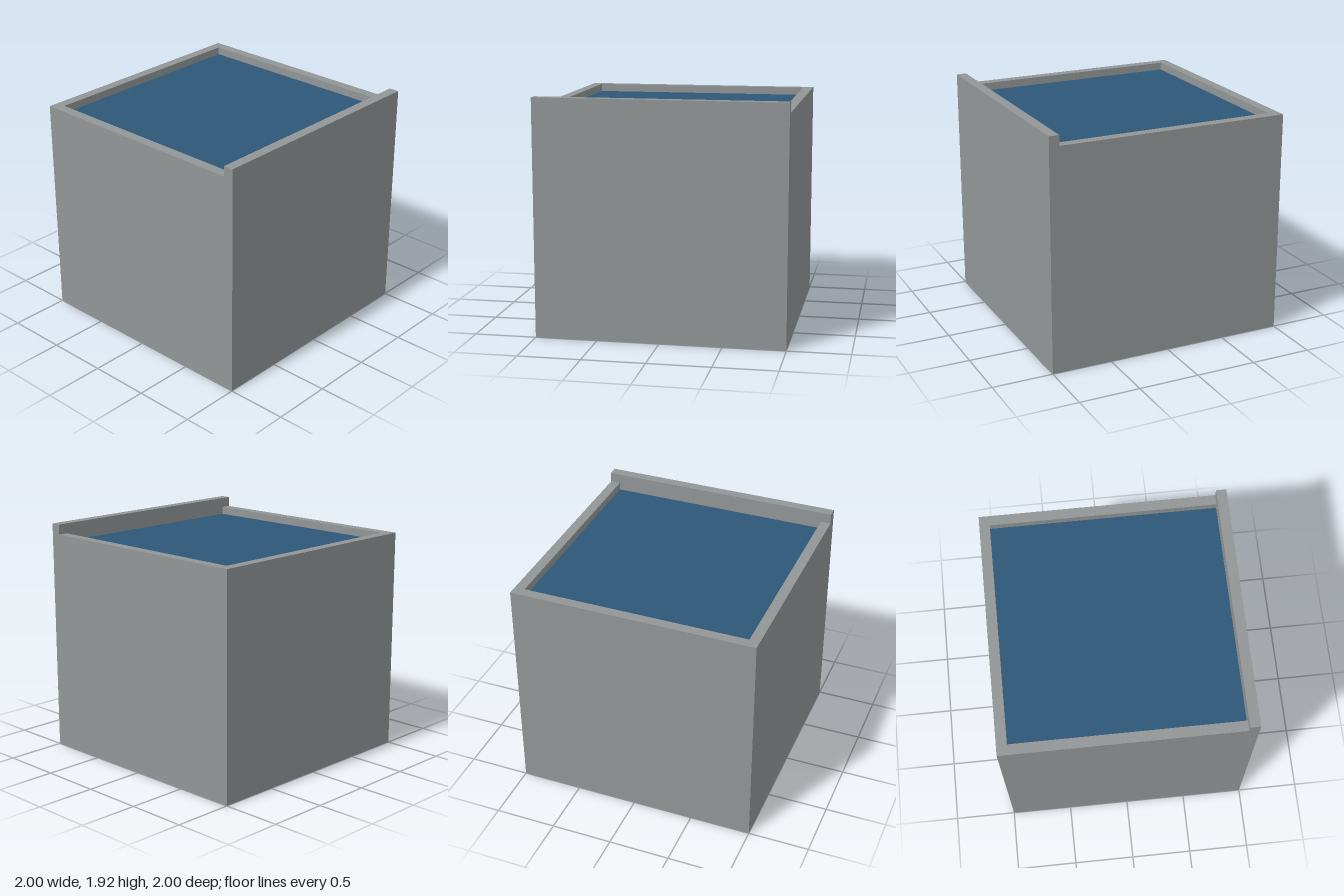
import * as THREE from 'three';

const T = 1 / 12; // wall thickness
const RIM = 22 / 12; // height of the side and back walls
const FRONT = 23 / 12; // height of the taller front wall
const WATER = 1.77; // water level

export function createModel() {
  const group = new THREE.Group();
  group.name = 'waterTank';

  const stone = new THREE.MeshStandardMaterial({ color: 0x929696 });
  stone.name = 'grey stone';
  const blue = new THREE.MeshStandardMaterial({ color: 0x2d5778 });
  blue.name = 'water blue';

  const add = (name, geometry, material, x, y, z) => {
    const mesh = new THREE.Mesh(geometry, material);
    mesh.name = name;
    mesh.position.set(x, y, z);
    group.add(mesh);
    return mesh;
  };

  // Side and back walls: one U-shaped plan raised to the rim (shape y becomes -z)
  const i = 1 - T;
  const plan = new THREE.Shape(
    [[-1, -i], [-i, -i], [-i, i], [i, i], [i, -i], [1, -i], [1, 1], [-1, 1]]
      .map(([x, y]) => new THREE.Vector2(x, y))
  );
  const walls = new THREE.ExtrudeGeometry(plan, { depth: RIM, bevelEnabled: false });
  walls.rotateX(-Math.PI / 2);
  add('sideAndBackWalls', walls, stone, 0, 0, 0);

  // Taller front wall
  add('frontWall', new THREE.BoxGeometry(2, FRONT, T), stone, 0, FRONT / 2, 1 - T / 2);

  // Floor closing the tank between the walls
  add('floor', new THREE.BoxGeometry(2 * i, T, 2 * i), stone, 0, T / 2, 0);

  // Water surface just below the rim
  const water = new THREE.PlaneGeometry(2 * i, 2 * i).rotateX(-Math.PI / 2);
  add('waterSurface', water, blue, 0, WATER, 0);

  return group;
}
